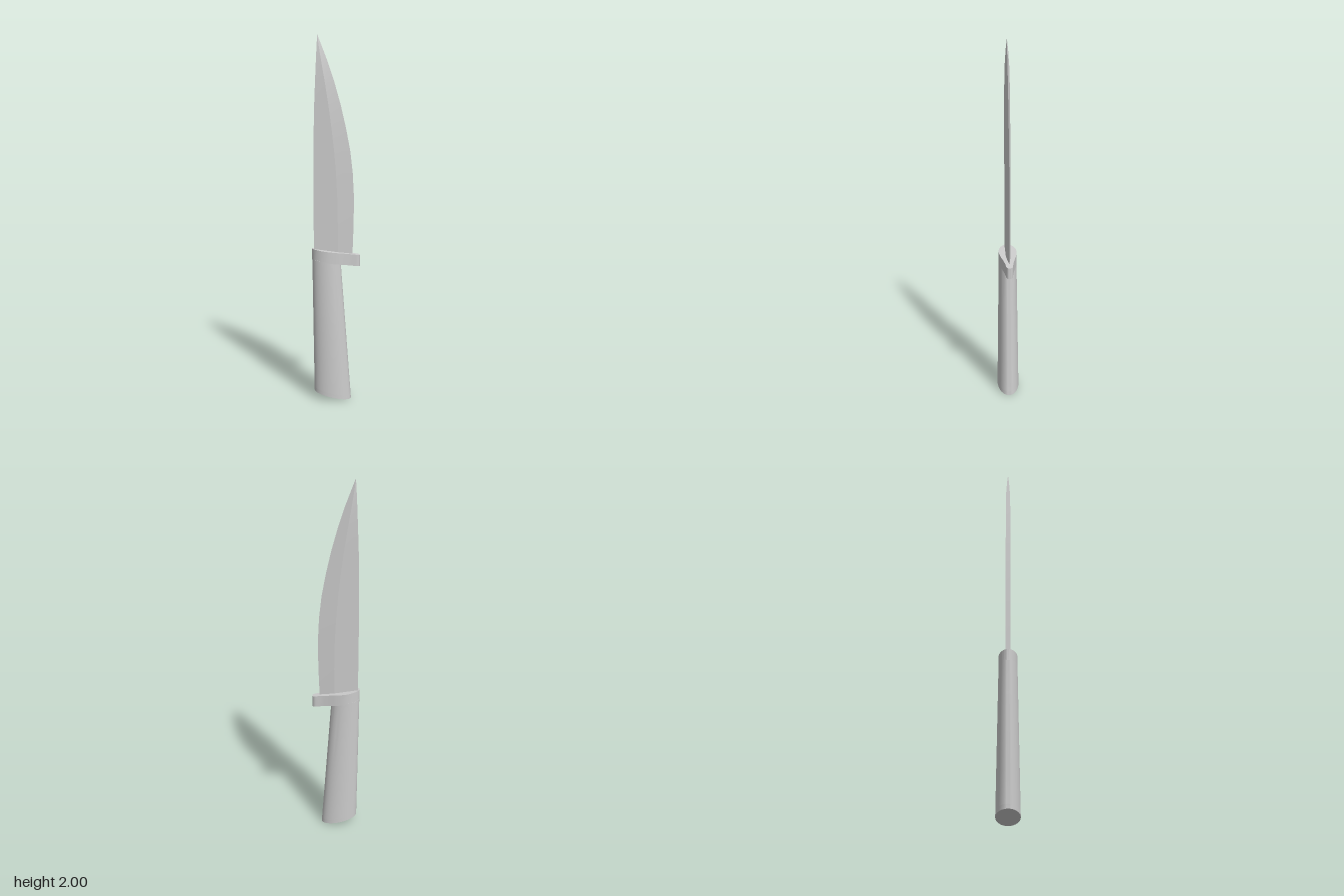
import * as THREE from 'three';
import { toCreasedNormals } from 'three/addons/utils/BufferGeometryUtils.js';

const material = new THREE.MeshStandardMaterial({ color: 0xcccccc });
const lerp = THREE.MathUtils.lerp;

// Skin closed rings of [x, y, z] (listed bottom to top, counter-clockwise from above) and cap both ends
function loft(name, rings, crease) {
  const n = rings[0].length, pos = rings.flat(2), idx = [];
  for (let r = 0; r < rings.length - 1; r++) {
    for (let i = 0; i < n; i++) {
      const a = r * n + i, b = r * n + (i + 1) % n;
      idx.push(a, b, b + n, a, b + n, a + n);
    }
  }
  for (const [r, top] of [[0, false], [rings.length - 1, true]]) {
    const c = pos.length / 3;
    for (let k = 0; k < 3; k++) pos.push(rings[r].reduce((s, p) => s + p[k], 0) / n);
    for (let i = 0; i < n; i++) {
      const a = r * n + i, b = r * n + (i + 1) % n;
      idx.push(c, top ? a : b, top ? b : a);
    }
  }
  const geo = new THREE.BufferGeometry();
  geo.setAttribute('position', new THREE.Float32BufferAttribute(pos, 3));
  geo.setIndex(idx);
  const mesh = new THREE.Mesh(toCreasedNormals(geo, crease), material);
  mesh.name = name;
  return mesh;
}

// Slanted oval of the handle; t runs from the butt (0) to the guard (1)
function handleRing(t) {
  const cx = lerp(-0.018, -0.052, t), rx = lerp(0.103, 0.078, t), rz = lerp(0.062, 0.05, t);
  const cy = lerp(0.023, 0.797, t), slope = lerp(-0.22, -0.13, t);
  return Array.from({ length: 40 }, (_, i) => {
    const a = (i / 40) * Math.PI * 2, x = rx * Math.cos(a);
    return [cx + x, cy + slope * x, -rz * Math.sin(a)];
  });
}

function makeGuard() {
  // Half outline from the finger tip to the back, mirrored across z
  const half = [[0.129, 0.009], [0.122, 0.016], [0.08, 0.023], [0.04, 0.033], [0, 0.044],
    [-0.05, 0.05], [-0.09, 0.042], [-0.12, 0.022]];
  const outline = [[0.131, 0], ...half, [-0.131, 0], ...half.map(([x, z]) => [x, -z]).reverse()];
  const curve = new THREE.CatmullRomCurve3(
    outline.map(([x, z]) => new THREE.Vector3(x, 0, -z)), true, 'centripetal');
  const points = curve.getPoints(72).slice(0, -1);
  const ring = (y) => points.map((p) => [p.x, y - 0.13 * p.x, p.z]);
  return loft('guard', [ring(0.785), ring(0.848)], 0.6);
}

function makeBlade() {
  // Rows: height, spine x, ridge x, edge x, half thickness
  const rows = [
    [0.82, -0.12, 0.01, 0.09, 0.013], [1.0, -0.121, 0.01, 0.096, 0.013],
    [1.15, -0.121, 0.007, 0.097, 0.013], [1.28, -0.121, 0, 0.09, 0.013],
    [1.4, -0.12, -0.01, 0.076, 0.013], [1.52, -0.118, -0.024, 0.053, 0.013],
    [1.64, -0.115, -0.04, 0.025, 0.013], [1.76, -0.11, -0.059, -0.009, 0.013],
    [1.87, -0.105, -0.078, -0.046, 0.011], [1.95, -0.101, -0.091, -0.077, 0.006],
    [2.0, -0.098, -0.0975, -0.097, 0.0005]];
  const rings = rows.map(([y, spine, ridge, edge, t]) =>
    [[edge, y, 0], [ridge, y, -t], [spine, y, -t], [spine, y, t], [ridge, y, t]]);
  return loft('blade', rings, 0.1);
}

export function createModel() {
  const group = new THREE.Group();
  group.name = 'knife';
  group.add(
    loft('pommelCap', [handleRing(0), handleRing(0.03)], 0.6),
    loft('grip', [0.03, 0.25, 0.5, 0.75, 1].map(handleRing), 0.6),
    makeGuard(),
    makeBlade());
  return group;
}
